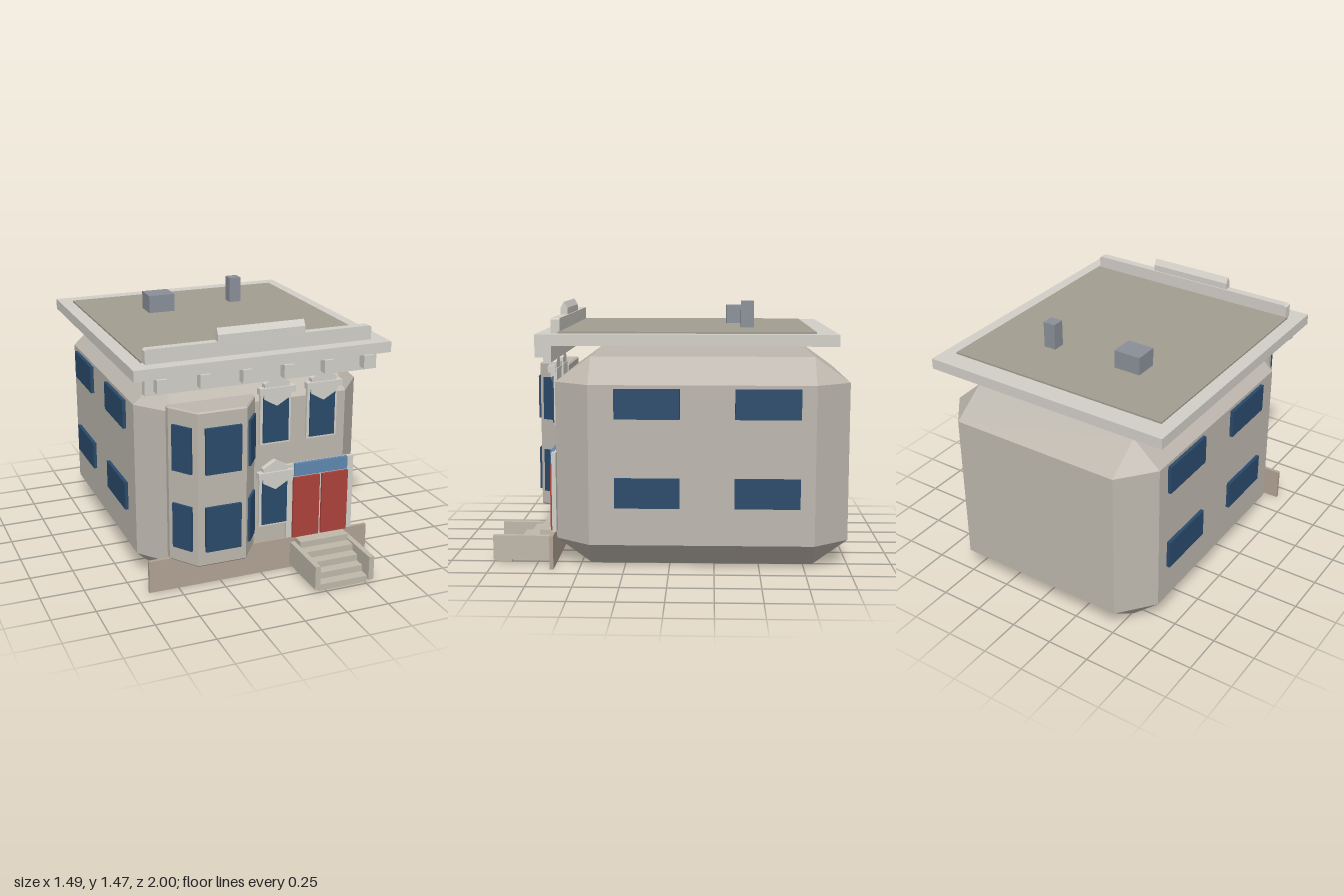
import * as THREE from 'three';
import { ConvexGeometry } from 'three/addons/geometries/ConvexGeometry.js';

const paint = (color) => new THREE.MeshStandardMaterial({ color, flatShading: true });

export function createModel() {
  const house = new THREE.Group();
  house.name = 'house';
  const wall = paint(0xbdb7ae), trim = paint(0xd2cfc8), glass = paint(0x2a4a6b);
  const red = paint(0xab423a), transomBlue = paint(0x5f87b0), brown = paint(0xb1a294);
  const roofGrey = paint(0xa39d91), chimneyGrey = paint(0x8a8f98), stone = paint(0xbfb8aa);

  function add(name, geometry, material) {
    const mesh = new THREE.Mesh(geometry, material);
    mesh.name = name;
    house.add(mesh);
    return mesh;
  }
  // Box given by its limits on each axis
  function box(name, material, x0, x1, y0, y1, z0, z1) {
    const mesh = add(name, new THREE.BoxGeometry(x1 - x0, y1 - y0, z1 - z0), material);
    mesh.position.set((x0 + x1) / 2, (y0 + y1) / 2, (z0 + z1) / 2);
    return mesh;
  }

  // Main body: block with all edges and corners bevelled
  const half = new THREE.Vector3(0.67, 0.5875, 0.82);
  const inner = new THREE.Vector3(0.51, 0.445, 0.6225);
  const corners = [];
  for (const sx of [-1, 1]) for (const sy of [-1, 1]) for (const sz of [-1, 1]) {
    for (const axis of ['x', 'y', 'z']) {
      const p = inner.clone();
      p[axis] = half[axis];
      corners.push(p.multiply(new THREE.Vector3(sx, sy, sz)));
    }
  }
  add('body', new ConvexGeometry(corners), wall).position.set(0, 0.5875, -0.18);

  // Plinth along the front
  box('plinth', brown, -0.67, 0.67, 0, 0.19, 0.642, 0.663);

  // Bay with three faces
  const bayPlan = new THREE.Shape([[-0.25, -0.63], [-0.25, -0.665], [-0.14, -0.82],
    [0.14, -0.82], [0.25, -0.665], [0.25, -0.63]].map(([x, y]) => new THREE.Vector2(x, y)));
  const bayGeometry = new THREE.ExtrudeGeometry(bayPlan, {
    depth: 0.874, bevelSize: 0.008, bevelOffset: -0.008, bevelThickness: 0.008, bevelSegments: 1,
  });
  bayGeometry.rotateX(-Math.PI / 2);
  add('bay', bayGeometry, wall).position.set(-0.3, 0.198, 0);
  for (const y of [0.41, 0.86]) {
    box('bayWindow', glass, -0.4, -0.195, y - 0.13, y + 0.13, 0.815, 0.838);
    for (const side of [-1, 1]) {
      const pane = add('baySideWindow', new THREE.BoxGeometry(0.125, 0.26, 0.02), glass);
      pane.position.set(-0.3 + side * 0.199, y, 0.743);
      pane.rotation.y = side * Math.atan2(0.155, 0.11);
    }
  }

  // Side windows
  for (const side of [-1, 1]) for (const y of [0.437, 0.93]) for (const z of [0.12, -0.54]) {
    box('sideWindow', glass, side * 0.675 - 0.015, side * 0.675 + 0.015,
      y - 0.083, y + 0.083, z - 0.18, z + 0.18);
  }

  // Front windows with frame, lintel and hexagonal pediment
  for (const [x, y] of [[0.078, 0.285], [0.078, 0.78], [0.36, 0.78]]) {
    box('windowFrame', trim, x - 0.092, x + 0.092, y, y + 0.32, 0.635, 0.655);
    box('windowGlass', glass, x - 0.076, x + 0.076, y + 0.013, y + 0.275, 0.645, 0.664);
    box('lintel', trim, x - 0.107, x + 0.107, y + 0.3, y + 0.336, 0.645, 0.685);
    const hex = new THREE.CylinderGeometry(0.087, 0.087, 0.035, 6).rotateX(Math.PI / 2);
    add('pediment', hex, trim).position.set(x, y + 0.313, 0.656);
  }

  // Entrance
  box('doorSurround', trim, 0.155, 0.57, 0.19, 0.64, 0.635, 0.659);
  box('leftDoor', red, 0.368, 0.532, 0.19, 0.56, 0.65, 0.673);
  box('rightDoor', red, 0.19, 0.354, 0.19, 0.56, 0.65, 0.673);
  box('transom', transomBlue, 0.195, 0.527, 0.568, 0.643, 0.65, 0.67);

  // Steps between two cheek walls
  for (let i = 0; i < 5; i++) {
    const front = 0.983 - i * 0.061;
    box('step', stone, 0.21, 0.512, i * 0.0375, (i + 1) * 0.0375, front - 0.083, front);
  }
  for (const x of [0.18, 0.512]) box('stepCheek', stone, x, x + 0.031, 0.02, 0.16, 0.655, 1);

  // Cornice, brackets and roof
  box('frieze', trim, -0.677, 0.677, 1.155, 1.249, 0.635, 0.678);
  for (let i = 0; i < 6; i++) {
    const x = -0.6 + i * 0.24;
    box('bracket', trim, x - 0.028, x + 0.028, 1.177, 1.252, 0.67, 0.732);
  }
  box('roofSlab', trim, -0.747, 0.747, 1.25, 1.312, -0.91, 0.715);
  box('roofDeck', roofGrey, -0.67, 0.67, 1.305, 1.322, -0.793, 0.6);

  // Parapet with a pointed crest
  const parapet = new THREE.Shape([[-0.66, 0], [0.66, 0], [0.66, 0.075], [0.645, 0.083],
    [-0.645, 0.083], [-0.66, 0.075]].map(([x, y]) => new THREE.Vector2(x, y)));
  add('parapet', new THREE.ExtrudeGeometry(parapet, { depth: 0.048, bevelEnabled: false }), trim)
    .position.set(0, 1.31, 0.59);
  const crest = new THREE.CylinderGeometry(0.07, 0.07, 0.508, 6).rotateX(Math.PI / 2)
    .rotateY(Math.PI / 2).scale(1, 1, 0.33);
  add('parapetCrest', crest, trim).position.set(0, 1.395, 0.617);

  // Chimneys
  box('wideChimney', chimneyGrey, -0.32, -0.16, 1.31, 1.427, -0.457, -0.32);
  box('tallChimney', chimneyGrey, 0.23, 0.303, 1.31, 1.473, -0.47, -0.397);

  return house;
}
